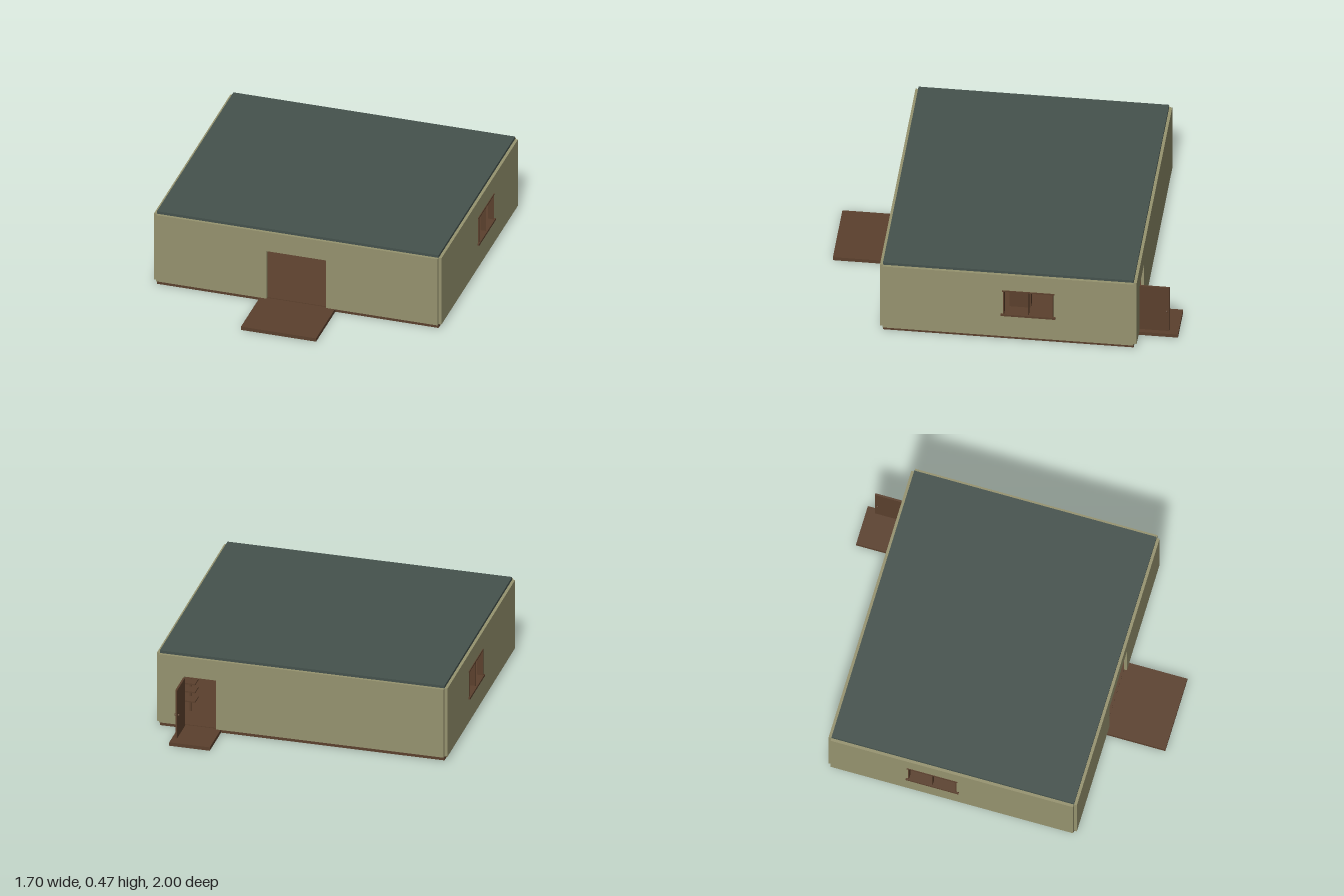
import * as THREE from 'three';

export function createModel() {
  const model = new THREE.Group();
  const mat = (name, color) => {
    const m = new THREE.MeshStandardMaterial({ color });
    m.name = name;
    return m;
  };
  const wallPaint = mat('olive plaster', 0x96936f);
  const wood = mat('brown wood', 0x5b402d);
  const slate = mat('slate roof', 0x45524d);

  // Box given by its min and max on each axis
  const box = (parent, name, material, [x0, x1], [y0, y1], [z0, z1]) => {
    const mesh = new THREE.Mesh(new THREE.BoxGeometry(x1 - x0, y1 - y0, z1 - z0), material);
    mesh.position.set((x0 + x1) / 2, (y0 + y1) / 2, (z0 + z1) / 2);
    mesh.name = name;
    parent.add(mesh);
    return mesh;
  };
  const group = (name) => {
    const g = new THREE.Group();
    g.name = name;
    model.add(g);
    return g;
  };

  const T = 0.017, Y0 = 0.025, Y1 = 0.45, X = 0.825, ZF = 0.645, ZB = -0.765;

  // Floor, porches and flat roof
  box(model, 'floor', wood, [-X, X], [0, Y0], [ZB, ZF]);
  box(model, 'frontPorch', wood, [-0.22, 0.22], [0, 0.021], [ZF, 1]);
  box(model, 'backPorch', wood, [0.47, 0.705], [0, 0.021], [-1, ZB]);
  box(model, 'roof', slate, [-X, X], [Y1, 0.466], [ZB, ZF]);

  // Wall panel with an optional doorway (reaching the floor) or window hole
  const wall = (name, a, b, door, win) => {
    const pts = [[a, Y0]];
    if (door) pts.push([door[0], Y0], [door[0], door[2]], [door[1], door[2]], [door[1], Y0]);
    pts.push([b, Y0], [b, Y1], [a, Y1]);
    const shape = new THREE.Shape(pts.map((p) => new THREE.Vector2(...p)));
    if (win) {
      const [l, r, lo, hi] = win;
      shape.holes.push(new THREE.Path([[l, lo], [l, hi], [r, hi], [r, lo]].map((p) => new THREE.Vector2(...p))));
    }
    const geo = new THREE.ExtrudeGeometry(shape, { depth: T, bevelEnabled: false });
    const mesh = new THREE.Mesh(geo, wallPaint);
    mesh.name = name;
    model.add(mesh);
    return mesh;
  };
  wall('frontWall', -X, X, [-0.178, 0.172, 0.33]).position.z = ZF;
  wall('backWall', -X, X, [0.495, 0.68, 0.33]).position.z = ZB - T;

  // Side walls with framed windows
  const W = { back: -0.315, front: -0.033, low: 0.18, high: 0.34 };
  for (const s of [1, -1]) {
    const side = s > 0 ? 'left' : 'right';
    const w = wall(side + 'Wall', ZB, ZF, null, [W.back, W.front, W.low, W.high]);
    w.rotation.y = -Math.PI / 2;
    w.position.x = s > 0 ? X + T : -X;

    const frame = group(side + 'Window');
    const span = (a, b) => (s > 0 ? [a, b] : [-b, -a]);
    box(frame, 'windowSill', wood, span(0.8, 0.852), [0.172, 0.184], [-0.327, -0.02]);
    box(frame, 'windowHead', wood, span(0.81, 0.846), [0.337, 0.345], [-0.322, -0.026]);
    for (const z of [W.back, W.front - 0.006])
      box(frame, 'windowJamb', wood, span(0.81, 0.846), [W.low, W.high], [z, z + 0.006]);
    box(frame, 'windowMullion', wood, span(0.81, 0.842), [W.low, W.high], [-0.177, -0.172]);
  }

  // Back door standing open, with a knob on both faces
  const door = group('backDoor');
  box(door, 'doorLeaf', wood, [0.673, 0.684], [0.026, 0.325], [-0.95, ZB - T]);
  for (const x of [0.669, 0.688]) {
    const knob = new THREE.Mesh(new THREE.SphereGeometry(0.006, 10, 8), wood);
    knob.position.set(x, 0.165, -0.935);
    knob.name = 'doorKnob';
    door.add(knob);
  }

  // Table inside the front door
  const table = group('table');
  box(table, 'tableTop', wood, [0.125, 0.42], [0.118, 0.13], [0.05, 0.3]);
  for (const x of [0.145, 0.392])
    for (const z of [0.075, 0.27]) box(table, 'tableLeg', wood, [x, x + 0.008], [Y0, 0.118], [z, z + 0.008]);

  // Cabinet with a row of small openings, in line with the windows
  const cabinet = group('cabinet');
  const cx = [0.5, 0.56], cz = [-0.155, -0.035];
  box(cabinet, 'cabinetBase', wood, cx, [Y0, 0.24], cz);
  box(cabinet, 'cabinetTop', wood, cx, [0.258, 0.3], cz);
  for (let i = 0; i < 4; i++) {
    const z = -0.155 + i * 0.036;
    box(cabinet, 'cabinetPost', wood, cx, [0.24, 0.258], [z, z + 0.012]);
  }

  // Open shelves by the back door
  const shelves = group('shelves');
  for (const y of [0.11, 0.17, 0.22]) box(shelves, 'shelfBoard', wood, [0.65, 0.8], [y, y + 0.008], [-0.66, -0.59]);
  for (const x of [0.69, 0.792]) box(shelves, 'shelfPost', wood, [x, x + 0.008], [Y0, 0.23], [-0.598, -0.59]);

  return model;
}
